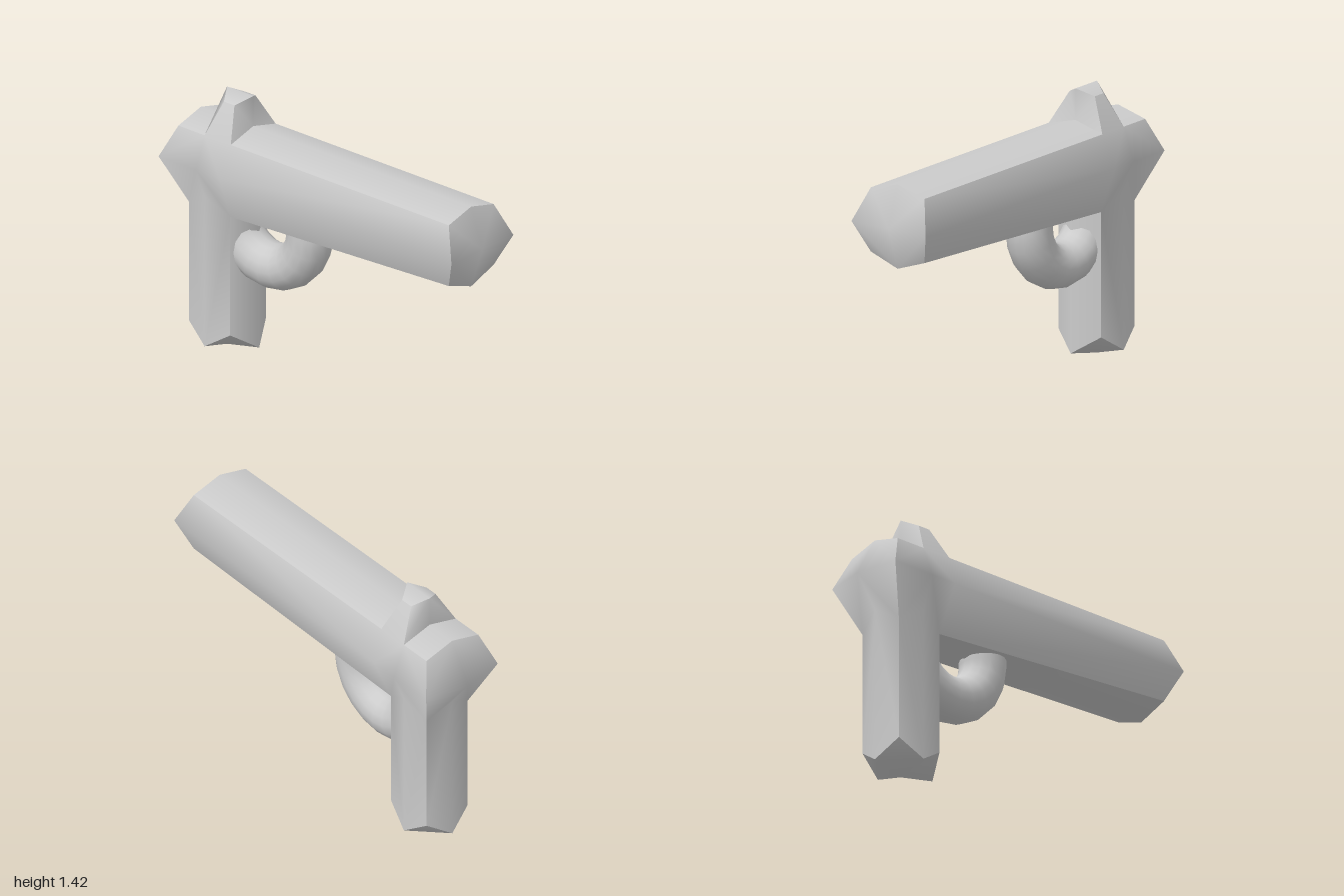
import * as THREE from 'three';

const material = new THREE.MeshStandardMaterial({ color: 0xcccccc });

// Smooth patch from a grid of points: rows run downwards, columns left to right.
// Grids may share point objects; shared points are welded so shading flows across them.
function patch(name, grids, flip = false) {
  const ids = new Map(), positions = [], index = [];
  const id = p => {
    if (!ids.has(p)) {
      ids.set(p, ids.size);
      positions.push(flip ? -p[0] : p[0], p[1], p[2]);
    }
    return ids.get(p);
  };
  const tri = (a, b, c) => (flip ? index.push(a, c, b) : index.push(a, b, c));
  for (const rows of grids) {
    for (let i = 0; i < rows.length - 1; i++) {
      for (let j = 0; j < rows[i].length - 1; j++) {
        const a = id(rows[i][j]), b = id(rows[i][j + 1]);
        const c = id(rows[i + 1][j]), d = id(rows[i + 1][j + 1]);
        if (j % 2 === 0) { tri(a, c, d); tri(a, d, b); }
        else { tri(a, c, b); tri(b, c, d); }
      }
    }
  }
  const geometry = new THREE.BufferGeometry();
  geometry.setAttribute('position', new THREE.Float32BufferAttribute(positions, 3));
  geometry.setIndex(index);
  geometry.computeVertexNormals();
  const mesh = new THREE.Mesh(geometry, material);
  mesh.name = name;
  return mesh;
}

// A row across the model: mirrored edge points with a centre point between them
const row = (x, y, z, midY, midZ) => [[-x, y, z], [0, midY, midZ], [x, y, z]];

export function createModel() {
  const model = new THREE.Group();
  model.name = 'toyPistol';

  // Rows in order around the outline, from the muzzle down, back, up and forward
  const muzzleTop = row(0.17, 1.21, 0.925, 1.255, 0.925);
  const muzzleMid = row(0.235, 1.04, 1, 1.04, 1);
  const muzzleLow = row(0.17, 0.875, 0.925, 0.815, 0.925);
  const gripFrontTop = row(0.135, 0.79, -0.565, 0.79, -0.49);
  const gripFrontLow = row(0.135, 0.135, -0.565, 0.045, -0.49);
  const gripBaseMid = row(0.17, 0.045, -0.705, 0, -0.705);
  const gripBackLow = row(0.135, 0.135, -0.84, 0.045, -0.88);
  const gripBackTop = row(0.135, 0.79, -0.84, 0.875, -0.88);
  const rearMid = row(0.235, 1.04, -0.955, 1.04, -1);
  const rearTop = row(0.17, 1.21, -0.88, 1.255, -0.88);
  const sightBackLow = row(0.17, 1.21, -0.705, 1.255, -0.705);
  const sightBackTop = row(0.08, 1.38, -0.655, 1.42, -0.705);
  const sightFrontTop = row(0.08, 1.38, -0.585, 1.42, -0.53);
  const sightFrontLow = row(0.17, 1.21, -0.53, 1.255, -0.53);

  // Faces that wrap around the outline, each smooth with hard borders
  const bands = {
    muzzleFace: [muzzleTop, muzzleMid, muzzleLow],
    barrelUnderside: [muzzleLow, gripFrontTop],
    gripFront: [gripFrontTop, gripFrontLow],
    gripBase: [gripFrontLow, gripBaseMid, gripBackLow],
    rearFace: [gripBackLow, gripBackTop, rearMid, rearTop],
    barrelTopRear: [rearTop, sightBackLow],
    sightBack: [sightBackLow, sightBackTop],
    sightTop: [sightBackTop, sightFrontTop],
    sightFront: [sightFrontTop, sightFrontLow],
    barrelTop: [sightFrontLow, muzzleTop],
  };
  for (const [name, rows] of Object.entries(bands)) model.add(patch(name, [rows]));

  // Side face: barrel and grip flow into one another, with the sight on top
  const edge = r => r[2];
  const gripTopMid = [0.17, 0.87, -0.705];
  const barrelSide = [
    [muzzleTop, sightFrontLow, sightBackLow, rearTop].map(edge),
    [edge(muzzleMid), [0.235, 1.04, -0.55], [0.235, 1.04, -0.705], edge(rearMid)],
    [edge(muzzleLow), edge(gripFrontTop), gripTopMid, edge(gripBackTop)],
  ];
  const gripSide = [
    [edge(gripFrontTop), gripTopMid, edge(gripBackTop)],
    [gripFrontLow, gripBaseMid, gripBackLow].map(edge),
  ];
  const sightSide = [
    [sightFrontTop, sightBackTop].map(edge),
    [sightFrontLow, sightBackLow].map(edge),
  ];
  const sideGrids = [barrelSide, gripSide, sightSide];
  model.add(patch('leftSide', sideGrids), patch('rightSide', sideGrids, true));

  // Trigger guard: lower half of a ring, its ends buried in barrel and grip
  const guard = new THREE.Mesh(new THREE.TorusGeometry(0.25, 0.12, 16, 10, Math.PI), material);
  guard.name = 'triggerGuard';
  guard.rotation.set(0, Math.PI / 2, Math.PI, 'YXZ');
  guard.position.set(0, 0.78, -0.4);
  model.add(guard);

  // Short stub carrying the ring up into the barrel
  const stub = new THREE.Mesh(new THREE.CylinderGeometry(0.12, 0.12, 0.08, 16, 1, true), material);
  stub.name = 'triggerGuardStub';
  stub.position.set(0, 0.82, -0.15);
  model.add(stub);

  return model;
}
